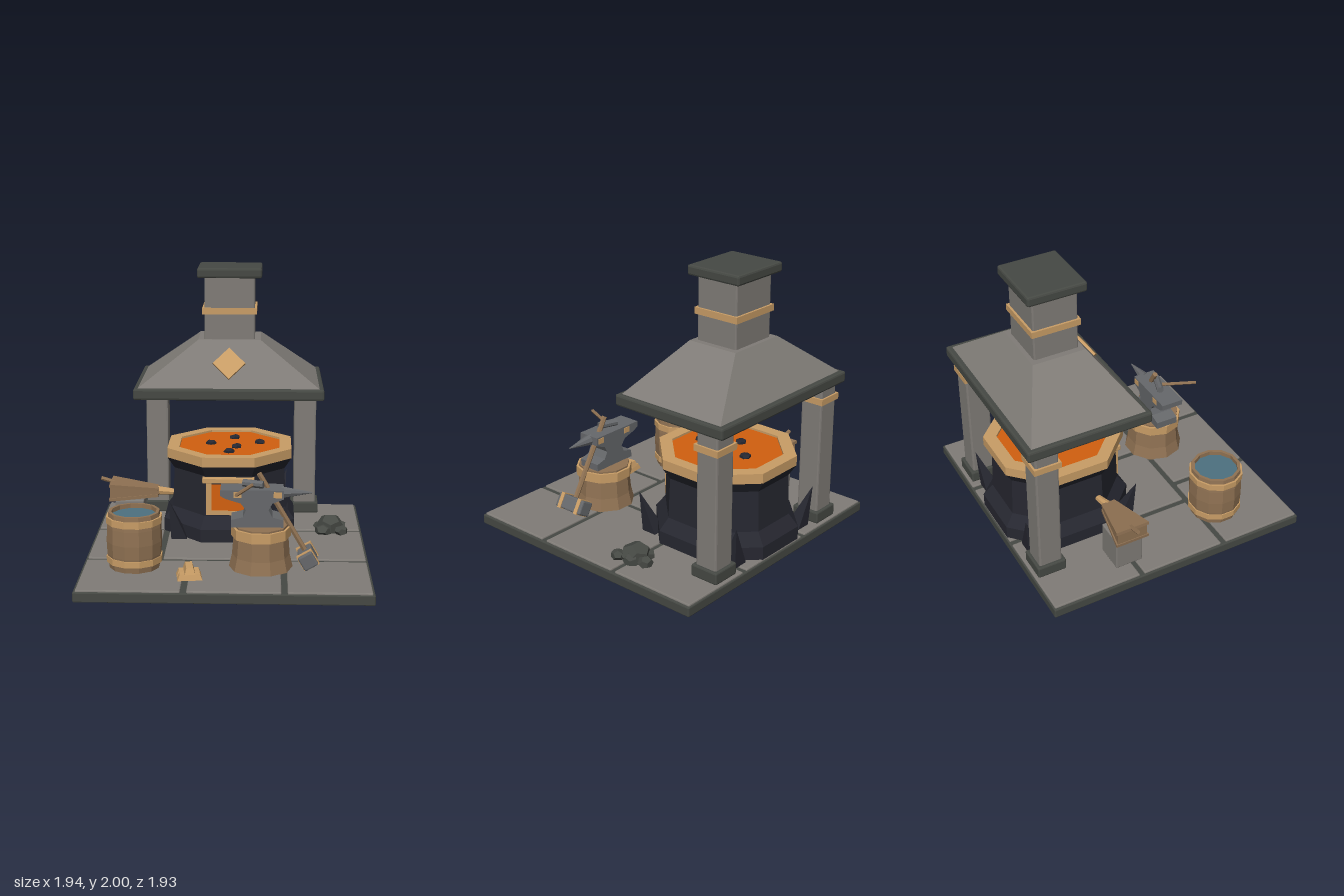
import * as THREE from 'three';
import { RoundedBoxGeometry } from 'three/addons/geometries/RoundedBoxGeometry.js';

const paint = (name, color) => {
  const m = new THREE.MeshStandardMaterial({ color });
  m.name = name;
  return m;
};

export function createModel() {
  const root = new THREE.Group();
  root.name = 'smithy';
  const stone = paint('stone', 0x807c77);
  const trim = paint('darkStone', 0x464944);
  const iron = paint('iron', 0x66686b);
  const black = paint('blackIron', 0x262730);
  const brass = paint('brass', 0xc99d66);
  const wood = paint('wood', 0x907253);
  const fire = paint('fire', 0xd2600f);
  const water = paint('water', 0x4d7180);

  // Faceted mesh
  const add = (name, geo, mat, parent = root) => {
    const g = geo.index ? geo.toNonIndexed() : geo;
    g.computeVertexNormals();
    const mesh = new THREE.Mesh(g, mat);
    mesh.name = name;
    parent.add(mesh);
    return mesh;
  };
  // Box from its limits, with optional chamfer
  const box = (name, mat, [x0, x1], [y0, y1], [z0, z1], bevel = 0, parent = root) => {
    const s = [x1 - x0, y1 - y0, z1 - z0];
    const geo = bevel ? new RoundedBoxGeometry(...s, 1, bevel) : new THREE.BoxGeometry(...s);
    const mesh = add(name, geo, mat, parent);
    mesh.position.set((x0 + x1) / 2, (y0 + y1) / 2, (z0 + z1) / 2);
    return mesh;
  };
  // Box whose upper end is scaled
  const taperedBox = (w, h, d, sx, sz) => {
    const geo = new THREE.BoxGeometry(w, h, d);
    const p = geo.attributes.position;
    for (let i = 0; i < p.count; i++) {
      if (p.getY(i) > 0) p.setXYZ(i, p.getX(i) * sx, p.getY(i), p.getZ(i) * sz);
    }
    return geo;
  };
  // Polygonal turned part; radii run to the middle of each flat side
  const prism = (name, mat, profile, sides, x, z) => {
    const k = Math.cos(Math.PI / sides);
    const pts = profile.map(([r, y]) => new THREE.Vector2(r / k, y));
    const mesh = add(name, new THREE.LatheGeometry(pts, sides, Math.PI / sides), mat);
    mesh.position.set(x, 0, z);
    return mesh;
  };
  const ring = (r0, r1, y0, y1) => [[r0, y0], [r1, y0], [r1, y1], [r0, y1], [r0, y0]];
  // Round bar between two points
  const rod = (name, mat, a, b, r0, r1 = r0, sides = 8) => {
    const A = new THREE.Vector3(...a), B = new THREE.Vector3(...b);
    const mesh = add(name, new THREE.CylinderGeometry(r1, r0, A.distanceTo(B), sides), mat);
    mesh.position.copy(A).add(B).multiplyScalar(0.5);
    mesh.quaternion.setFromUnitVectors(new THREE.Vector3(0, 1, 0), B.clone().sub(A).normalize());
    return mesh;
  };
  const rock = (name, mat, x, y, z, r, flat = 0.7, turn = 0) => {
    const mesh = add(name, new THREE.DodecahedronGeometry(r), mat);
    mesh.position.set(x, y, z);
    mesh.scale.y = flat;
    mesh.rotation.y = turn;
    return mesh;
  };

  // Paved floor
  box('floorSlab', trim, [-0.97, 0.97], [0, 0.07], [-0.965, 0.965], 0.008);
  const rows = [
    [[-0.955, -0.315], [-0.955, -0.28, -0.24, 0.37, 0.41, 0.955]],
    [[-0.28, 0.33], [-0.955, -0.475, -0.435, 0.17, 0.21, 0.955]],
    [[0.37, 0.955], [-0.955, -0.28, -0.24, 0.37, 0.41, 0.955]],
  ];
  for (const [z, xs] of rows) {
    for (let i = 0; i < 6; i += 2) box('pavingStone', stone, [xs[i], xs[i + 1]], [0.03, 0.082], z, 0.008);
  }

  // Columns
  for (const s of [-1, 1]) {
    const span = (h) => [s * 0.56 - h, s * 0.56 + h];
    const depth = (h) => [-0.83 - h, -0.83 + h];
    box('column', stone, span(0.083), [0.1, 1.12], depth(0.083), 0.012);
    box('columnFoot', trim, span(0.105), [0.08, 0.165], depth(0.105), 0.01);
    box('columnBand', brass, span(0.097), [0.97, 1.015], depth(0.097));
  }

  // Hood and chimney
  box('hoodRim', trim, [-0.67, 0.67], [1.1, 1.18], [-0.97, -0.075], 0.014);
  add('hood', taperedBox(1.29, 0.315, 0.83, 0.345, 0.46), stone).position.set(0, 1.3325, -0.52);
  box('chimney', stone, [-0.18, 0.18], [1.47, 1.95], [-0.68, -0.36], 0.01);
  box('chimneyBand', brass, [-0.195, 0.195], [1.67, 1.715], [-0.695, -0.345]);
  box('chimneyCap', trim, [-0.23, 0.23], [1.93, 2], [-0.73, -0.31], 0.014);
  const diamond = new THREE.Shape([[0, -0.122], [0.115, 0], [0, 0.122], [-0.115, 0]].map((p) => new THREE.Vector2(...p)));
  const badge = add('hoodDiamond', new THREE.ExtrudeGeometry(diamond, { depth: 0.018, bevelEnabled: false }), brass);
  badge.position.set(0, 1.335, -0.217);
  badge.rotation.x = -0.62;

  // Furnace
  const fz = -0.48;
  prism('furnace', black, [[0, 0.08], [0.475, 0.08], [0.475, 0.175], [0.412, 0.26], [0.4, 0.55], [0.45, 0.63], [0, 0.63]], 8, 0, fz);
  prism('furnaceRim', brass, ring(0.365, 0.45, 0.63, 0.7), 8, 0, fz);
  prism('embers', fire, [[0.37, 0.685], [0, 0.685]], 8, 0, fz);
  [[-0.14, -0.01], [0.05, 0.09], [0.22, -0.04], [0.0, 0.23], [0.03, -0.18]].forEach(([x, z], i) =>
    rock('coal', black, x, 0.69, fz + z, 0.042, 0.6, i));
  for (let i = 0; i < 4; i++) {
    const pivot = new THREE.Group();
    pivot.name = 'furnaceClaw';
    pivot.position.set(0, 0.08, fz);
    pivot.rotation.y = Math.PI / 4 + (i * Math.PI) / 2;
    const geo = new THREE.ConeGeometry(0.08, 0.3, 4).translate(0, 0.15, 0);
    const p = geo.attributes.position;
    for (let j = 0; j < p.count; j++) p.setZ(j, p.getZ(j) + 0.5 + p.getY(j) * 0.34);
    add('claw', geo, black, pivot);
    root.add(pivot);
  }

  // Fire door
  box('fireOpening', fire, [-0.13, 0.13], [0.29, 0.49], [-0.1, -0.066]);
  for (const s of [-1, 1]) box('doorPost', brass, [s * 0.14 - 0.02, s * 0.14 + 0.02], [0.27, 0.51], [-0.1, -0.055]);
  box('doorSill', brass, [-0.12, 0.12], [0.27, 0.3], [-0.1, -0.055]);
  box('doorLintel', brass, [-0.185, 0.185], [0.505, 0.545], [-0.1, -0.045], 0.006);

  // Anvil stump
  const ax = 0.235, az = 0.465;
  prism('stump', wood, [[0, 0.08], [0.205, 0.08], [0.185, 0.17], [0.175, 0.3], [0.175, 0.38], [0, 0.38]], 10, ax, az);
  prism('stumpBand', brass, ring(0.17, 0.192, 0.3, 0.368), 10, ax, az);

  // Anvil
  const outline = [[-0.035, 0.635], [-0.035, 0.595], [0.0, 0.575], [0.1, 0.545], [0.135, 0.5], [0.115, 0.45], [0.035, 0.43],
    [0.035, 0.378], [0.385, 0.378], [0.385, 0.43], [0.31, 0.45], [0.285, 0.5], [0.31, 0.545], [0.385, 0.575], [0.385, 0.635]];
  const anvilShape = new THREE.Shape(outline.map((p) => new THREE.Vector2(...p)));
  add('anvil', new THREE.ExtrudeGeometry(anvilShape, { depth: 0.165, bevelEnabled: false }), iron).position.z = az - 0.0825;
  rod('anvilHorn', iron, [0.37, 0.6, az], [0.575, 0.6, az], 0.042, 0.004);
  for (const x of [0.08, 0.345]) {
    for (const s of [-1, 1]) {
      const z = az + s * 0.0825;
      box('anvilPlate', brass, [x - 0.027, x + 0.027], [0.585, 0.625], [z - 0.004, z + 0.004]);
    }
  }

  // Small hammer lying on the anvil
  rod('hammerHandle', wood, [0.075, 0.657, 0.73], [0.185, 0.657, 0.47], 0.012, 0.012, 6);
  rod('hammerHead', iron, [0.115, 0.66, 0.45], [0.25, 0.66, 0.495], 0.026);

  // Leaning sledgehammer
  rod('sledgeHandle', wood, [0.55, 0.165, az], [0.22, 0.73, az], 0.019, 0.019, 6);
  const sledge = new THREE.Group();
  sledge.name = 'sledgeHead';
  sledge.position.set(0.55, 0.155, az);
  sledge.rotation.z = 0.53;
  root.add(sledge);
  box('head', iron, [-0.052, 0.052], [-0.052, 0.052], [-0.12, 0.12], 0.01, sledge);
  for (const z of [-0.08, 0.08]) box('headBand', brass, [-0.057, 0.057], [-0.057, 0.057], [z - 0.015, z + 0.015], 0, sledge);

  // Water barrel
  const bx = -0.615, bz = 0.48;
  prism('barrel', wood, [[0, 0.08], [0.165, 0.08], [0.178, 0.18], [0.182, 0.27], [0.178, 0.37], [0.168, 0.47], [0.148, 0.47], [0.148, 0.42]], 12, bx, bz);
  prism('barrelHoop', brass, ring(0.165, 0.184, 0.395, 0.44), 12, bx, bz);
  prism('barrelHoop', brass, ring(0.165, 0.184, 0.125, 0.168), 12, bx, bz);
  prism('barrelWater', water, [[0.15, 0.44], [0, 0.44]], 12, bx, bz);

  // Bellows on a stone block
  box('bellowsBlock', stone, [-0.83, -0.62], [0.08, 0.32], [-0.43, -0.23], 0.008);
  const bellowsPart = (name, h, d, sx, x, y, tilt) => {
    const mesh = add(name, taperedBox(h, 0.35, d, sx, 0.42), wood);
    mesh.position.set(x, y, -0.328);
    mesh.rotation.z = -Math.PI / 2 + tilt;
  };
  bellowsPart('bellowsBag', 0.1, 0.22, 0.4, -0.69, 0.375, 0);
  bellowsPart('bellowsTop', 0.022, 0.245, 1, -0.695, 0.41, -0.13);
  bellowsPart('bellowsBottom', 0.022, 0.245, 1, -0.695, 0.335, 0.05);
  rod('bellowsHandle', wood, [-0.94, 0.46, -0.328], [-0.84, 0.43, -0.328], 0.015, 0.015, 6);
  rod('bellowsNozzle', brass, [-0.53, 0.37, -0.328], [-0.37, 0.35, -0.35], 0.032, 0.02);

  // Ore heap
  [[0.74, 0.12, -0.31, 0.105, 0.8], [0.69, 0.1, -0.25, 0.07, 0.7], [0.77, 0.11, -0.42, 0.055, 0.8],
    [0.815, 0.11, -0.215, 0.05, 0.8], [0.8, 0.11, -0.33, 0.065, 0.7], [0.67, 0.1, -0.35, 0.055, 0.7]]
    .forEach(([x, y, z, r, f], i) => rock('oreRock', trim, x, y, z, r, f, i * 1.3));

  // Ingot stack
  const stack = new THREE.Group();
  stack.name = 'ingotStack';
  stack.position.set(-0.235, 0.082, 0.69);
  stack.rotation.y = 0.13;
  root.add(stack);
  const ingot = () => taperedBox(0.165, 0.042, 0.07, 0.8, 0.65);
  for (const z of [-0.042, 0.042]) add('ingot', ingot(), brass, stack).position.set(0, 0.021, z);
  const topIngot = add('ingot', ingot(), brass, stack);
  topIngot.position.y = 0.063;
  topIngot.rotation.y = Math.PI / 2;

  return root;
}
